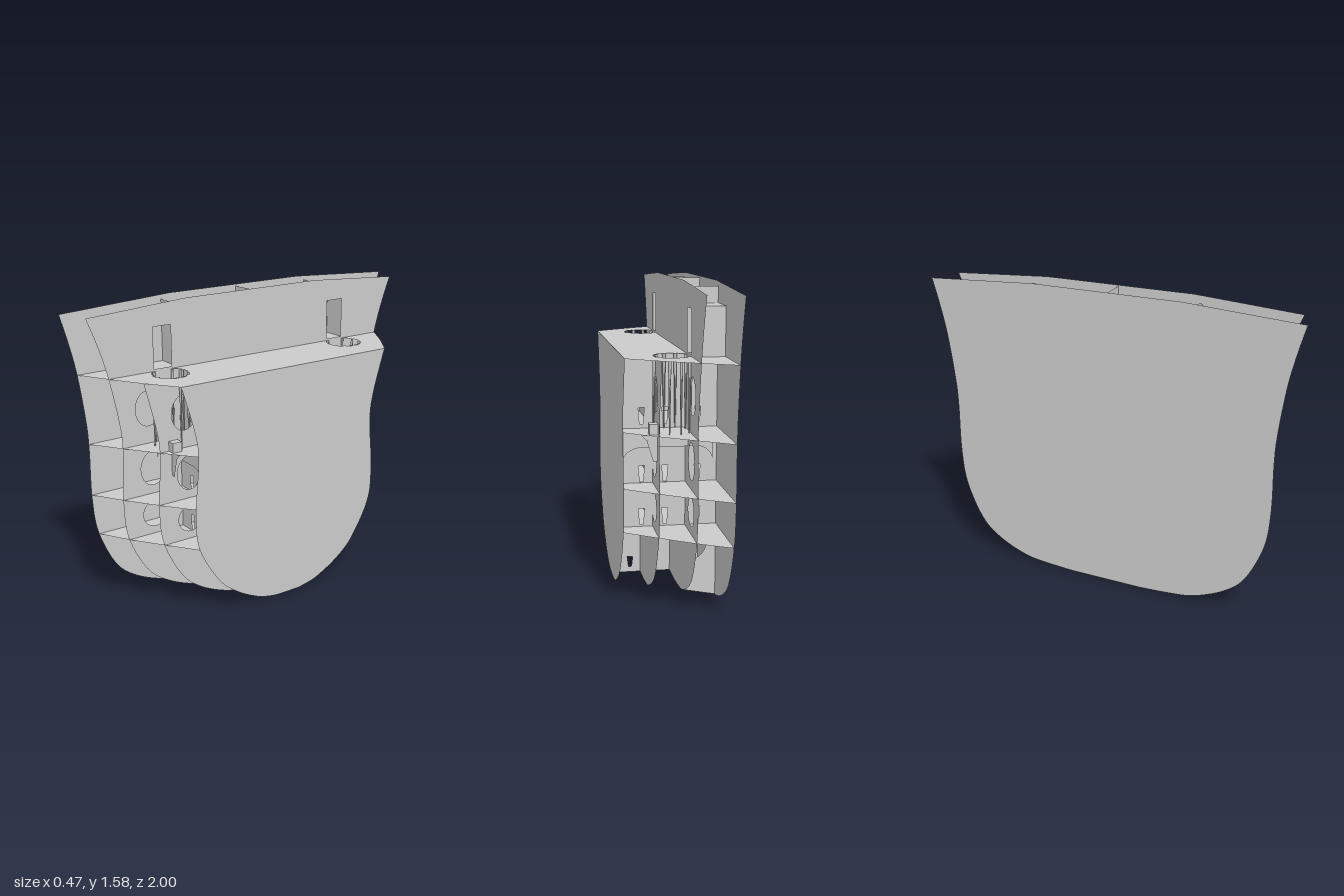
import * as THREE from 'three';

const mat = new THREE.MeshStandardMaterial({ color: 0xcccccc, side: THREE.DoubleSide });
const V = (x, y) => new THREE.Vector2(x, y);

// Transverse frames: x station, then half-breadths at the heights below
const YS = [0, 0.01, 0.03, 0.1, 0.2, 0.4, 0.6, 0.85, 1.0, 1.24, 1.4, 1.545];
const FRAMES = [
  { x: -0.235, half: [0.2, 0.36, 0.5, 0.66, 0.77, 0.86, 0.885, 0.885, 0.893, 0.925, 0.96, 1.0] },
  { x: -0.08, half: [0.14, 0.27, 0.39, 0.55, 0.67, 0.77, 0.79, 0.78, 0.79, 0.838, 0.885, 0.94] },
  { x: 0.08, half: [0.1, 0.2, 0.3, 0.45, 0.56, 0.66, 0.68, 0.665, 0.68, 0.74] },
  { x: 0.235, half: [0.07, 0.13, 0.2, 0.33, 0.44, 0.55, 0.565, 0.545, 0.56, 0.63] },
];
const DECKS = [0.39, 0.61, 0.88, 1.24];

function sheet(name, shape, place, parent) {
  const geo = new THREE.ShapeGeometry(shape, 16);
  place(geo);
  const mesh = new THREE.Mesh(geo, mat);
  mesh.name = name;
  parent.add(mesh);
  return mesh;
}
const acrossX = (x) => (g) => g.rotateY(-Math.PI / 2).translate(x, 0, 0); // shape is (z, y)
const level = (y) => (g) => g.rotateX(Math.PI / 2).translate(0, y, 0);    // shape is (x, z)
const alongX = (z) => (g) => g.translate(0, 0, z);                        // shape is (x, y)

const ellipse = (x, y, rx, ry) => new THREE.Path().absellipse(x, y, rx, ry, 0, Math.PI * 2, true);
const poly = (pts) => new THREE.Path(pts.map((p) => V(...p)));
const rect = (x0, x1, y0, y1) => poly([[x0, y0], [x0, y1], [x1, y1], [x1, y0]]);

// Half-breadth of a frame at height y
function halfAt(frame, y) {
  const i = Math.max(1, Math.min(frame.half.length - 1, YS.findIndex((v) => v >= y)));
  const t = (y - YS[i - 1]) / (YS[i] - YS[i - 1]);
  return THREE.MathUtils.lerp(frame.half[i - 1], frame.half[i], t);
}

function frameShape(frame) {
  const side = new THREE.SplineCurve(frame.half.map((h, i) => V(h, YS[i]))).getPoints(60);
  const top = frame.half.length > 10 ? [V(0.4, 1.58), V(-0.4, 1.58)] : [];
  return new THREE.Shape([...side, ...top, ...side.map((p) => V(-p.x, p.y)).reverse()]);
}

function deckShape(y) {
  const edge = new THREE.SplineCurve(FRAMES.map((f) => V(f.x, halfAt(f, y)))).getPoints(18);
  const shape = new THREE.Shape([...edge, ...edge.map((p) => V(p.x, -p.y)).reverse()]);
  shape.holes.push(rect(-0.165, -0.122, -0.148, -0.055)); // ladder hatch
  return shape;
}

// Tapered openings through a longitudinal web just above each deck
function webHoles(shape, levels) {
  for (const y of levels) for (const x of [-0.14, 0.02, 0.135]) {
    if (y < 0.1 && x < 0) continue;
    const h = y < 0.1 ? 0.055 : 0.08;
    shape.holes.push(poly([[x - 0.015, y + h], [x + 0.015, y + h], [x + 0.008, y], [x - 0.008, y]]));
  }
}

export function createModel() {
  const group = new THREE.Group();
  group.name = 'hullSection';

  // Transverse frames, the inner two with openings
  FRAMES.forEach((f, i) => {
    const shape = frameShape(f);
    const inner = i === 1 || i === 2;
    for (const s of [-1, 1]) {
      if (inner) for (const y of [0.5, 0.745, 1.06]) {
        shape.holes.push(ellipse(s * (halfAt(f, y) - 0.17), y, 0.07, y === 0.5 ? 0.07 : 0.09));
      }
      if (i === 1) shape.holes.push(rect(s * 0.54 - 0.05, s * 0.54 + 0.05, 1.25, 1.46));
    }
    sheet('transverseFrame', shape, acrossX(f.x), group);
  });

  // Decks, with pipe openings and small drain holes in the uppermost
  for (const y of DECKS) {
    const shape = deckShape(y);
    if (y === 1.24) for (const s of [-1, 1]) {
      shape.holes.push(ellipse(0, s * 0.545, 0.092, 0.092));
      for (const z of [0.12, 0.22, 0.32, 0.42]) {
        if (s > 0 || z > 0.2) shape.holes.push(ellipse(-0.105, s * z, 0.016, 0.01));
      }
    }
    sheet('deck', shape, level(y), group);
  }

  // Centreline web
  const centre = new THREE.Shape([V(-0.235, 0), V(0.235, 0), V(0.235, 1.24), V(-0.08, 1.24),
    V(-0.08, 1.575), V(-0.235, 1.57)]);
  webHoles(centre, [0.03, 0.395, 0.615, 0.9]);
  sheet('centreWeb', centre, alongX(0), group);

  for (const s of [-1, 1]) {
    // Side web with a scooped lower part and a rounded upper corner
    const web = new THREE.Shape();
    web.moveTo(-0.235, 0.02).lineTo(-0.08, 0.05).lineTo(-0.08, 0.2);
    web.bezierCurveTo(-0.15, 0.2, -0.19, 0.25, -0.19, 0.3);
    web.bezierCurveTo(-0.19, 0.36, -0.12, 0.36, -0.035, 0.385);
    web.lineTo(0.235, 0.39).lineTo(0.235, 1.24).lineTo(-0.08, 1.24).lineTo(-0.08, 1.5);
    web.quadraticCurveTo(-0.09, 1.55, -0.14, 1.555).lineTo(-0.235, 1.555);
    webHoles(web, [0.4, 0.615, 0.9]);
    sheet('sideWeb', web, alongX(s * 0.45), group);

    // Arched beam below the middle deck
    const beam = new THREE.Shape();
    beam.moveTo(-0.2, 0.88).lineTo(-0.2, 0.74).quadraticCurveTo(-0.18, 0.8, -0.12, 0.8);
    beam.lineTo(0.15, 0.8).quadraticCurveTo(0.22, 0.79, 0.235, 0.74).lineTo(0.235, 0.88);
    sheet('archedBeam', beam, alongX(s * 0.52), group);

    // Knee bracket and stop block beside the third frame
    const knee = new THREE.Shape([V(0.08, 0.75), V(0.1, 0.75), V(0.13, 0.85), V(0.16, 0.88), V(0.08, 0.88)]);
    sheet('kneeBracket', knee, alongX(s * 0.6), group);
    const block = new THREE.Mesh(new THREE.BoxGeometry(0.04, 0.05, 0.05), mat);
    block.name = 'stopBlock';
    block.position.set(0.1, 0.905, s * 0.59);
    group.add(block);

    // Slender staves around the pipe opening
    for (let i = 0; i < 10; i++) {
      const a = (i / 10) * Math.PI * 2;
      const stave = new THREE.Mesh(new THREE.CylinderGeometry(0.008, 0.003, 0.36, 4), mat);
      stave.name = 'pipeStave';
      stave.position.set(0.088 * Math.cos(a), 1.06, s * 0.545 + 0.088 * Math.sin(a));
      group.add(stave);
    }

    // Shallow recess behind the opening in the tall inner plate
    const recess = new THREE.Mesh(new THREE.BoxGeometry(0.016, 0.015, 0.19), mat);
    recess.name = 'recessLintel';
    recess.position.set(-0.092, 1.468, s * 0.545);
    group.add(recess);
    sheet('recessShelf', new THREE.Shape([V(-0.235, s * 0.45), V(-0.08, s * 0.45), V(-0.08, s * 0.64),
      V(-0.235, s * 0.64)]), level(1.475), group);
    sheet('recessCheek', new THREE.Shape([V(-0.235, 1.24), V(-0.08, 1.24), V(-0.08, 1.475),
      V(-0.235, 1.475)]), alongX(s * 0.62), group);
  }
  return group;
}
